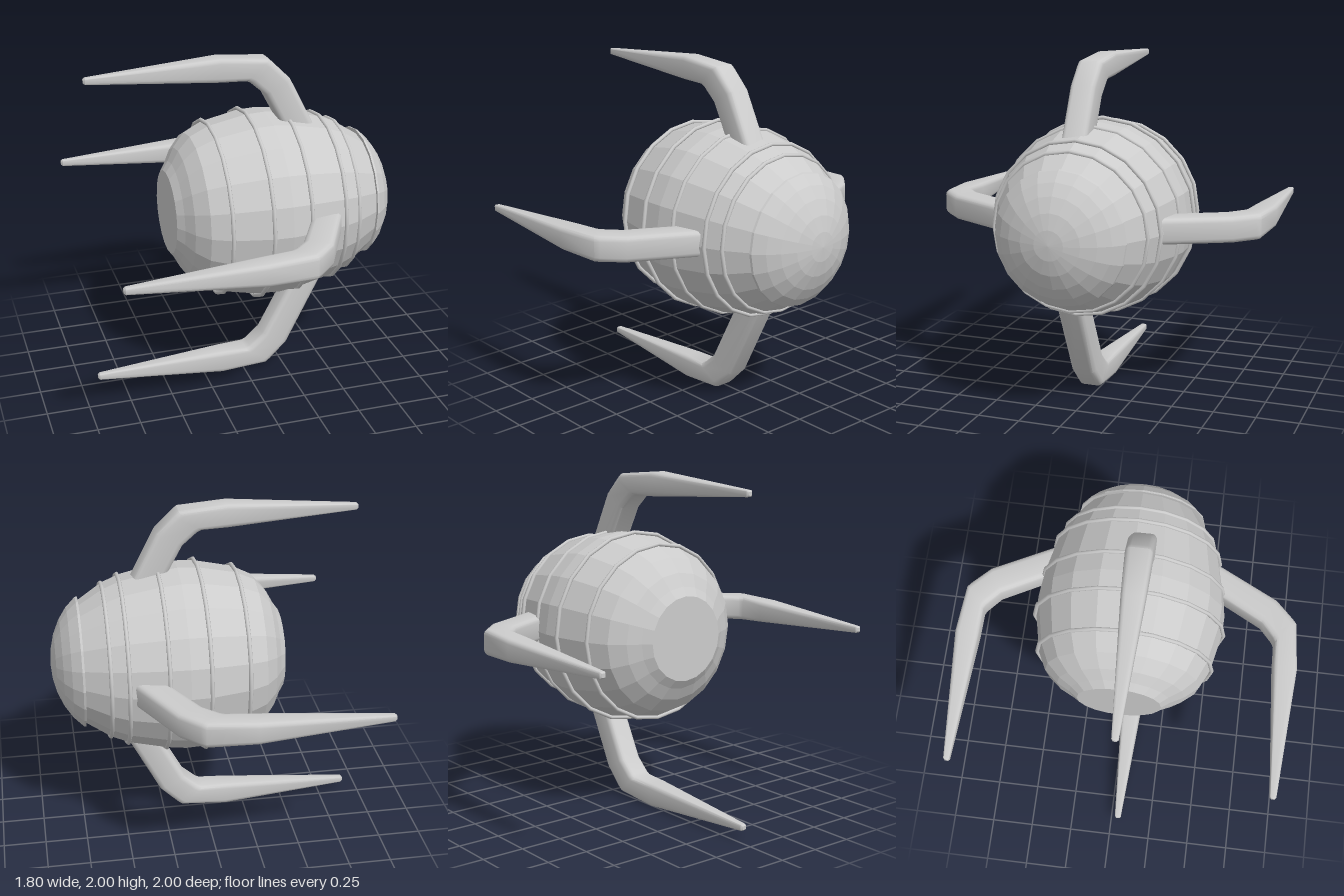
import * as THREE from 'three';
import { toCreasedNormals } from 'three/addons/utils/BufferGeometryUtils.js';

const SIDES = 20;
const faceted = new THREE.MeshStandardMaterial({ color: 0xcccccc, flatShading: true });
const smooth = new THREE.MeshStandardMaterial({ color: 0xcccccc });

// Surface of revolution about the x axis from [x, radius] pairs
function revolve(name, profile) {
  const points = profile.map(([x, r]) => new THREE.Vector2(r, x));
  const mesh = new THREE.Mesh(new THREE.LatheGeometry(points, SIDES).rotateZ(-Math.PI / 2), faceted);
  mesh.name = name;
  return mesh;
}

// Rounded-square outline in the range -1..1
function roundedSquare(radius = 0.4, steps = 3) {
  const outline = [];
  for (let corner = 0; corner < 4; corner++) {
    const mid = Math.PI / 4 + corner * Math.PI / 2;
    const cx = Math.sign(Math.cos(mid)) * (1 - radius);
    const cy = Math.sign(Math.sin(mid)) * (1 - radius);
    for (let i = 0; i <= steps; i++) {
      const a = corner * Math.PI / 2 + (i / steps) * Math.PI / 2;
      outline.push([cx + radius * Math.cos(a), cy + radius * Math.sin(a)]);
    }
  }
  return outline;
}

// Bent, tapering arm lofted through stations: outer x, y, inner x, y, half width
function armGeometry() {
  const stations = [
    [-0.905, 0.938, -0.905, 0.917, 0.011],
    [-0.895, 0.946, -0.895, 0.909, 0.019],
    [-0.14, 1.0, -0.14, 0.86, 0.066],
    [0.14, 0.975, 0.01, 0.857, 0.075],
    [0.165, 0.955, 0.035, 0.845, 0.075],
    [0.27, 0.85, 0.12, 0.77, 0.075],
    [0.55, 0.3, 0.37, 0.3, 0.075],
  ];
  const outline = roundedSquare();
  const n = outline.length;
  const positions = [];
  const index = [];
  for (const [ox, oy, ix, iy, half] of stations) {
    for (const [a, w] of outline) {
      positions.push((ox + ix) / 2 + a * (ox - ix) / 2, (oy + iy) / 2 + a * (oy - iy) / 2, w * half);
    }
  }
  for (let s = 0; s < stations.length - 1; s++) {
    for (let i = 0; i < n; i++) {
      const a = s * n + i, b = s * n + (i + 1) % n;
      index.push(a, b, b + n, a, b + n, a + n);
    }
  }
  // End caps
  const last = (stations.length - 1) * n;
  for (let i = 1; i < n - 1; i++) {
    index.push(0, i + 1, i, last, last + i, last + i + 1);
  }
  const geometry = new THREE.BufferGeometry();
  geometry.setAttribute('position', new THREE.Float32BufferAttribute(positions, 3));
  geometry.setIndex(index);
  return toCreasedNormals(geometry, 0.6);
}

export function createModel() {
  const model = new THREE.Group();
  model.name = 'armedPod';

  const body = new THREE.Group();
  body.name = 'body';
  body.position.set(0, 1.077, 0);
  model.add(body);

  // Barrel shell with a flat rear end
  body.add(revolve('shell', [
    [-0.445, 0], [-0.445, 0.245], [-0.41, 0.295], [-0.37, 0.37], [-0.3, 0.45], [-0.19, 0.503],
    [0.035, 0.55], [0.15, 0.555], [0.265, 0.541], [0.48, 0.494], [0.58, 0.453], [0.73, 0.355],
  ]));

  // Nose dome with an overhanging rim
  body.add(revolve('noseDome', [
    [0.727, 0.3], [0.722, 0.383], [0.735, 0.38], [0.79, 0.325], [0.835, 0.257],
    [0.872, 0.173], [0.893, 0.085], [0.9, 0],
  ]));

  // Raised hoops round the barrel
  for (const [x, r] of [[-0.19, 0.525], [0.035, 0.572], [0.265, 0.555], [0.485, 0.51], [0.582, 0.465]]) {
    const hoop = new THREE.Mesh(new THREE.TorusGeometry(r - 0.012, 0.012, 8, SIDES).rotateY(Math.PI / 2), smooth);
    hoop.name = 'hoop';
    hoop.position.x = x;
    body.add(hoop);
  }

  // Four arms at quarter turns about the x axis
  const geometry = armGeometry();
  ['topArm', 'frontArm', 'bottomArm', 'backArm'].forEach((name, i) => {
    const arm = new THREE.Mesh(geometry, smooth);
    arm.name = name;
    arm.rotation.x = i * Math.PI / 2;
    arm.position.set(0, i % 2 ? 1.087 : 1, i % 2 ? 0 : 0.043);
    model.add(arm);
  });

  return model;
}
